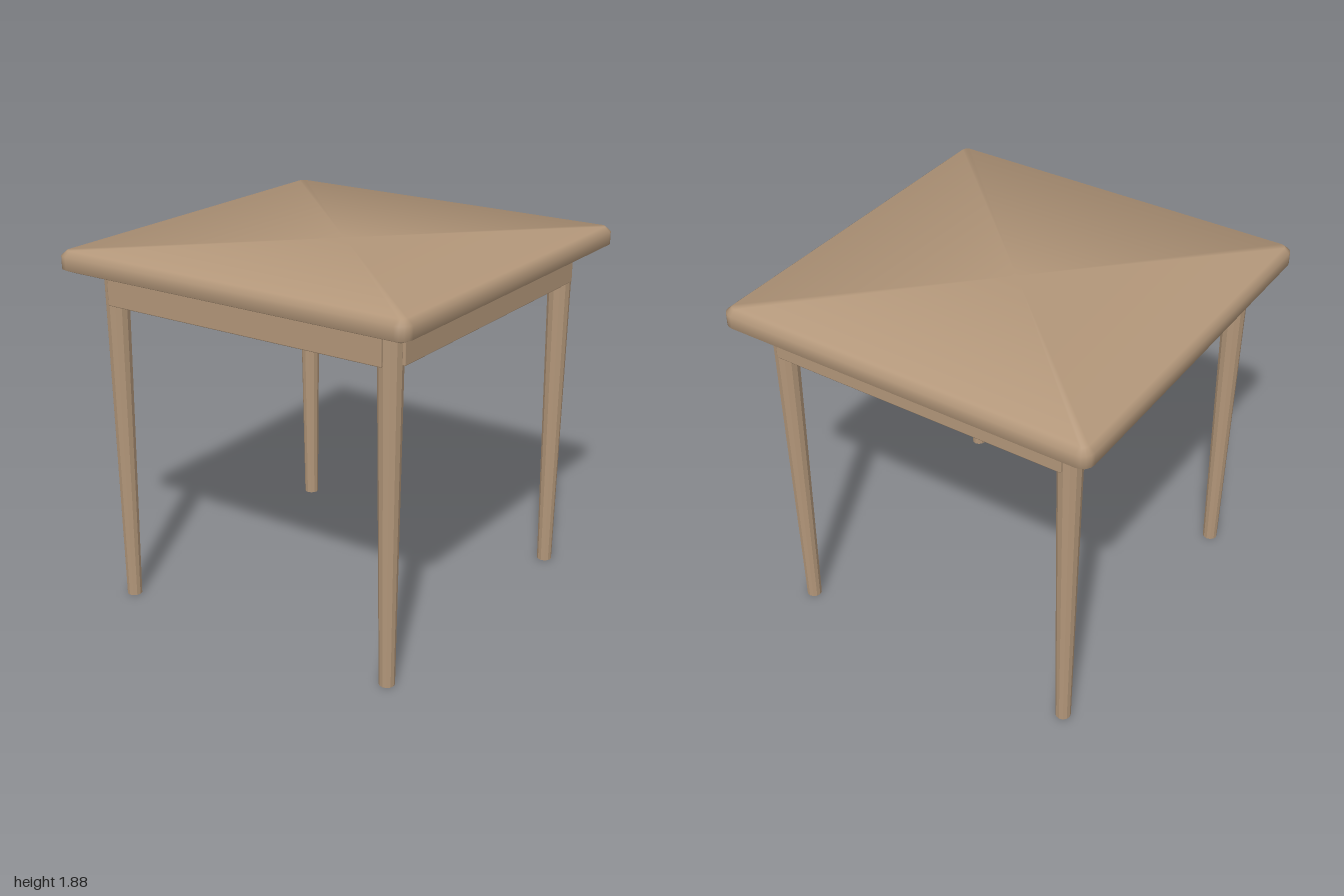
import * as THREE from 'three';
import { RoundedBoxGeometry } from 'three/addons/geometries/RoundedBoxGeometry.js';

// Rounded-square slab: stacked outlines closed by a fan above and below,
// with normals leaning outwards at the rims for a soft edge.
function slabGeometry(half, radius, arcSteps) {
  // inset, height, outward and upward parts of the normal
  const profile = [
    [0.05, 1.768, 0.45, -0.9],
    [0, 1.79, 0.95, -0.3],
    [0, 1.855, 0.95, 0.3],
    [0.03, 1.88, 0.45, 0.9],
  ];
  const pos = [], nor = [], idx = [];
  const n = 4 * (arcSteps + 1);
  for (const [inset, y, out, up] of profile) {
    for (let q = 0; q < 4; q++) {
      const mid = (q + 0.5) * Math.PI / 2;
      const cx = Math.sign(Math.cos(mid)) * (half - radius);
      const cz = Math.sign(Math.sin(mid)) * (half - radius);
      for (let s = 0; s <= arcSteps; s++) {
        const a = (q + s / arcSteps) * Math.PI / 2;
        const c = Math.cos(a), d = Math.sin(a);
        pos.push(cx + c * (radius - inset), y, cz + d * (radius - inset));
        nor.push(c * out, up, d * out);
      }
    }
  }
  const rings = profile.length, bottom = rings * n, top = bottom + 1;
  pos.push(0, profile[0][1], 0, 0, profile[rings - 1][1], 0);
  nor.push(0, -1, 0, 0, 1, 0);
  for (let i = 0; i < n; i++) {
    const j = (i + 1) % n;
    for (let r = 0; r < rings - 1; r++) {
      const a = r * n + i, b = r * n + j;
      idx.push(a, a + n, b, b, a + n, b + n);
    }
    idx.push(bottom, i, j);
    idx.push(top, (rings - 1) * n + j, (rings - 1) * n + i);
  }
  const g = new THREE.BufferGeometry();
  g.setAttribute('position', new THREE.Float32BufferAttribute(pos, 3));
  g.setAttribute('normal', new THREE.Float32BufferAttribute(nor, 3));
  g.setIndex(idx);
  g.normalizeNormals();
  return g;
}

export function createModel() {
  const table = new THREE.Group();
  table.name = 'table';
  const wood = new THREE.MeshStandardMaterial({ color: 0xb3977a });
  const facetedWood = new THREE.MeshStandardMaterial({ color: 0xb3977a, flatShading: true });

  const add = (name, geometry, material, x = 0, y = 0, z = 0) => {
    const mesh = new THREE.Mesh(geometry, material);
    mesh.name = name;
    mesh.position.set(x, y, z);
    table.add(mesh);
    return mesh;
  };

  // Table top
  add('tableTop', slabGeometry(1, 0.06, 4), wood);

  // Four tapered legs
  const legHeight = 1.77;
  const leg = new THREE.CylinderGeometry(0.062, 0.039, legHeight, 12);
  for (const [front, z] of [['front', 0.8], ['back', -0.8]])
    for (const [side, x] of [['Left', 0.8], ['Right', -0.8]])
      add(`${front}${side}Leg`, leg, facetedWood, x, legHeight / 2, z);

  // Four apron rails, set just below the top and outside the leg centres
  const rail = new RoundedBoxGeometry(1.595, 0.145, 0.04, 1, 0.006);
  ['frontApron', 'leftApron', 'backApron', 'rightApron'].forEach((name, i) => {
    const a = i * Math.PI / 2;
    add(name, rail, wood, Math.sin(a) * 0.853, 1.678, Math.cos(a) * 0.853).rotation.y = a;
  });

  return table;
}
